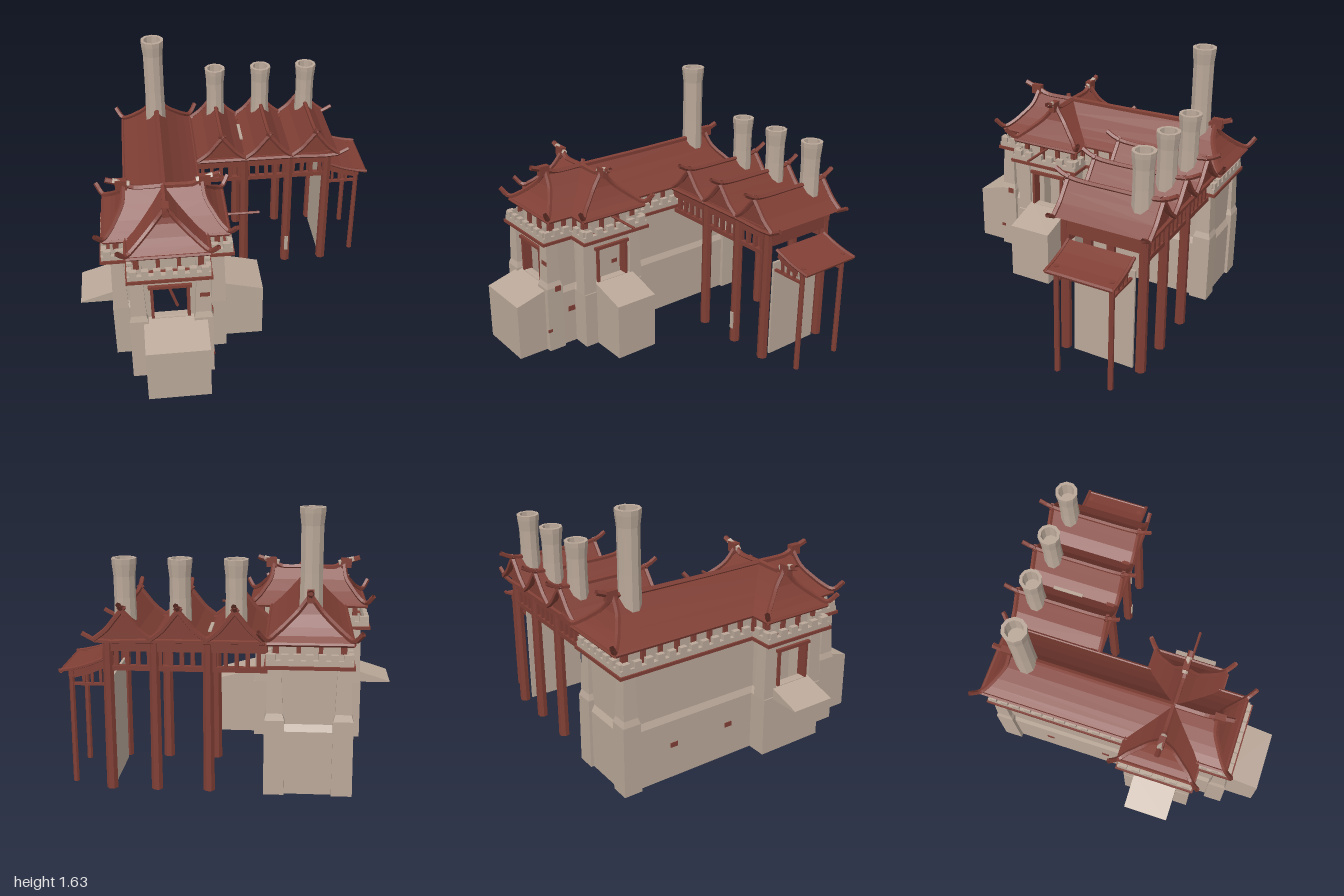
import * as THREE from 'three';

const stone = new THREE.MeshStandardMaterial({ color: 0xbaa899, flatShading: true, side: THREE.DoubleSide });
stone.name = 'paleStone';
const red = new THREE.MeshStandardMaterial({ color: 0x803f35, flatShading: true, side: THREE.DoubleSide });
red.name = 'redTimber';

const CX = -0.445, CZ = 0.30; // crossing of the two roof ridges
const V = (x, y, z) => new THREE.Vector3(x, y, z);

export function createModel() {
  const root = new THREE.Group();

  const add = (name, geo, mat, parent = root) => {
    const m = new THREE.Mesh(geo, mat);
    m.name = name;
    parent.add(m);
    return m;
  };
  // box given by its minimum and maximum corners
  const box = (name, x0, y0, z0, x1, y1, z1, mat, parent) =>
    add(name, new THREE.BoxGeometry(x1 - x0, y1 - y0, z1 - z0)
      .translate((x0 + x1) / 2, (y0 + y1) / 2, (z0 + z1) / 2), mat, parent);
  // timber bent along a few points
  const rod = (name, pts, r, parent, mat = red) =>
    add(name, new THREE.TubeGeometry(new THREE.CatmullRomCurve3(pts.map(p => V(...p))), (pts.length - 1) * 4, r, 5), mat, parent);
  // open surface through rows of points, wound so that row x column faces outward
  const sheet = (name, rows, parent, mat = red) => {
    const n = rows[0].length, idx = [];
    for (let i = 0; i < rows.length - 1; i++)
      for (let j = 0; j < n - 1; j++) {
        const a = i * n + j;
        idx.push(a, a + 1, a + n, a + 1, a + n + 1, a + n);
      }
    const g = new THREE.BufferGeometry();
    g.setAttribute('position', new THREE.Float32BufferAttribute(rows.flat(2), 3));
    g.setIndex(idx);
    g.computeVertexNormals();
    return add(name, g, mat, parent);
  };

  // cross-shaped plan, counter-clockwise seen from above, starting at the front wall
  const plan = (hw, aw, zb, za0, za1, zf) => [
    [-hw, zf], [hw, zf], [hw, za1], [aw, za1], [aw, za0], [hw, za0],
    [hw, zb], [-hw, zb], [-hw, za0], [-aw, za0], [-aw, za1], [-hw, za1],
  ].map(([x, z]) => [CX + x, z]);
  const ring = (pts, y) => [...pts, pts[0]].map(([x, z]) => [x, y, z]);
  const prism = (name, pts, y0, y1, mat) => {
    const s = new THREE.Shape(pts.map(([x, z]) => new THREE.Vector2(x, -z)));
    const g = new THREE.ExtrudeGeometry(s, { depth: y1 - y0, bevelEnabled: false });
    return add(name, g.rotateX(-Math.PI / 2).translate(0, y0, 0), mat);
  };
  // runs a builder on every wall of a plan; local x follows the wall, local z points outward
  const eachWall = (name, pts, build) => pts.forEach((p, i) => {
    const q = pts[(i + 1) % pts.length], dx = q[0] - p[0], dz = q[1] - p[1];
    const g = new THREE.Group();
    g.name = name;
    g.position.set(p[0], 0, p[1]);
    g.rotation.y = Math.atan2(-dz, dx);
    root.add(g);
    build(g, Math.hypot(dx, dz), i);
  });
  const slab = (shape, t) => new THREE.ExtrudeGeometry(shape, { depth: t, bevelEnabled: false }).translate(0, 0, -t);
  const poly = pts => new THREE.Shape(pts.map(p => new THREE.Vector2(...p)));

  // --- masonry hall, open underneath ---
  const foot = plan(0.23, 0.355, -0.84, 0.08, 0.53, 0.72);
  const wallPlan = plan(0.213, 0.333, -0.82, 0.10, 0.51, 0.70);
  sheet('base', [ring(foot, 0), ring(foot, 0.38), ring(wallPlan, 0.42)], root, stone);
  eachWall('wall', wallPlan, (g, len, i) => {
    const s = poly([[0, 0.4], [len, 0.4], [len, 0.76], [0, 0.76]]);
    if (i === 0 || i === 3 || i === 9) {
      const a = len / 2 - 0.11, b = len / 2 + 0.11, y0 = 0.44, y1 = 0.68;
      s.holes.push(new THREE.Path([[a, y0], [a, y1], [b, y1], [b, y0]].map(p => new THREE.Vector2(...p))));
      box('windowJamb', a - 0.008, y0, -0.05, a + 0.01, y1, 0.015, red, g);
      box('windowJamb', b - 0.01, y0, -0.05, b + 0.008, y1, 0.015, red, g);
      box('windowLintel', a - 0.02, y1 - 0.008, -0.05, b + 0.02, y1 + 0.012, 0.02, red, g);
      box('windowSill', a - 0.01, y0 - 0.012, -0.04, b + 0.01, y0 + 0.004, 0.015, stone, g);
    }
    add('wallPanel', slab(s, 0.035), stone, g);
  });
  rod('fallenSlat', [[-0.47, 0.66, 0.6], [-0.44, 0.56, 0.6], [-0.40, 0.43, 0.6]], 0.01);

  // --- parapet ---
  prism('parapetBand', plan(0.255, 0.405, -0.87, 0.05, 0.555, 0.76), 0.755, 0.775, red);
  eachWall('parapet', plan(0.245, 0.395, -0.86, 0.06, 0.545, 0.75), (g, len) => {
    const n = Math.max(1, Math.round(len / 0.075)), step = len / n, pts = [[0, 0.775], [len, 0.775]];
    for (let k = n - 1; k >= 0; k--) {
      const a = (k + 0.2) * step, b = (k + 0.8) * step;
      pts.push([k === n - 1 ? len : b + 0.001, 0.805], [b, 0.805], [b, 0.84], [a, 0.84], [a, 0.805]);
    }
    pts.push([0, 0.805]);
    add('crenellation', slab(poly(pts), 0.03), stone, g);
  });
  eachWall('upperWall', plan(0.185, 0.30, -0.80, 0.12, 0.48, 0.66), (g, len) => {
    box('upperWallPanel', 0, 0.775, -0.02, len, 0.915, 0, stone, g);
    const n = Math.max(1, Math.round(len / 0.12));
    for (let k = 0; k <= n; k++) {
      const x = len * k / n;
      box('shortPost', x - 0.012, 0.775, -0.01, x + 0.012, 0.915, 0.022, red, g);
    }
  });

  // --- corner pilasters: wide foot, tapering shaft ---
  const pilaster = (x, z, footed) => {
    const block = (w0, w1, y0, y1) => add('pilaster',
      new THREE.CylinderGeometry(w1 / Math.SQRT2, w0 / Math.SQRT2, y1 - y0, 4, 1, true)
        .rotateY(Math.PI / 4).translate(x, (y0 + y1) / 2, z), stone);
    if (footed) {
      block(0.12, 0.115, 0, 0.45);
      block(0.115, 0.09, 0.45, 0.49);
    }
    block(0.095, 0.07, footed ? 0.49 : 0.38, 0.84);
  };
  for (const s of [-1, 1]) {
    pilaster(CX + s * 0.195, 0.69, true);
    pilaster(CX + s * 0.195, -0.80, true);
    for (const z of [0.125, 0.485]) pilaster(CX + s * 0.305, z, false);
  }

  // --- porch blocks with sloping tops, local +z leading away from the wall ---
  const porch = (name, x, z, angle, w, depth, bottom) => {
    const g = new THREE.Group();
    g.name = name;
    g.position.set(x, 0, z);
    g.rotation.y = angle;
    root.add(g);
    const h = w / 2, hi = 0.445, lo = 0.375;
    sheet('porchTop', [[[-h, lo, depth], [h, lo, depth]], [[-h, hi, 0], [h, hi, 0]]], g, stone);
    sheet('porchSides', [
      [[-h, bottom, 0], [-h, bottom, depth], [h, bottom, depth], [h, bottom, 0]],
      [[-h, hi, 0], [-h, lo, depth], [h, lo, depth], [h, hi, 0]],
    ], g, stone);
  };
  porch('frontPorch', -0.42, 0.70, 0, 0.385, 0.25, 0);
  porch('rightPorch', -0.11, 0.295, Math.PI / 2, 0.29, 0.265, 0);
  porch('leftPorchRoof', -0.78, 0.295, -Math.PI / 2, 0.29, 0.22, 0.368);

  // --- hip roof arm running along local +z from the crossing ---
  const roofArm = (name, angle, L, w) => {
    const g = new THREE.Group();
    g.name = name;
    g.position.set(CX, 0, CZ);
    g.rotation.y = angle;
    root.add(g);
    const prof = [[0, 1.13, L - 0.155], [0.07, 1.05, L - 0.125], [0.14, 0.985, L - 0.08], [0.19, 0.945, L - 0.045], [w, 0.91, L]];
    for (const s of [-1, 1]) {
      sheet('roofSlope', prof.map(([x, y, z]) => [[s * x, y, 0], [s * x, y, z]]), g);
      rod('hipBeam', [[0, 1.155, L - 0.14], ...prof.slice(1, 4).map(([x, y, z]) => [s * x, y + 0.012, z]),
        [s * w, 0.93, L], [s * (w + 0.045), 0.985, L + 0.042]], 0.016, g);
      rod('sideEave', [[s * w, 0.908, 0.1], [s * w, 0.908, L]], 0.012, g);
    }
    sheet('hipEnd', prof.map(([x, y, z]) => [[-x, y, z], [x, y, z]]), g);
    rod('endEave', [[-w, 0.908, L], [w, 0.908, L]], 0.012, g);
    rod('ridgeBeam', [[0, 1.125, 0], [0, 1.127, L * 0.5], [0, 1.145, L - 0.16], [0, 1.19, L - 0.035]], 0.018, g);
    box('ridgeCap', -0.02, 1.12, L - 0.16, 0.02, 1.185, L - 0.09, red, g);
  };
  roofArm('frontRoof', 0, 0.41, 0.245);
  roofArm('hallRoof', Math.PI, 1.19, 0.24);
  roofArm('leftRoof', Math.PI / 2, 0.375, 0.235);
  roofArm('rightRoof', -Math.PI / 2, 0.375, 0.235);
  rod('projectingPole', [[-0.1, 0.88, 0.30], [0.14, 0.88, 0.30]], 0.009);

  // --- gallery roofs: three gables side by side ---
  const zF = -0.27, zB = -0.87;
  const gableProf = [[0, 1.075], [0.045, 1.02], [0.09, 0.965], [0.165, 0.905]];
  [-0.03, 0.285, 0.60].forEach(x => {
    for (const s of [-1, 1]) {
      sheet('galleryRoof', gableProf.map(([u, y]) => [[x + s * u, y, zB], [x + s * u, y, zF]]));
      for (const z of [zF, zB])
        rod('galleryGableTrim', [[x - s * 0.015, 1.10, z], ...gableProf.slice(1).map(([u, y]) => [x + s * u, y + 0.005, z])], 0.016);
    }
    for (const z of [zF - 0.03, zB + 0.03])
      sheet('galleryGable', gableProf.map(([u, y]) => [[x - u, y, z], [x + u, y, z]]));
    rod('galleryRidge', [[x, 1.13, zF + 0.08], [x, 1.09, zF], [x, 1.078, -0.57], [x, 1.09, zB], [x, 1.13, zB - 0.08]], 0.015);
  });
  for (const z of [zF, zB + 0.01])
    rod('galleryEave', [[-0.2, 0.905, z], [0.45, 0.905, z], [0.76, 0.905, z], [0.83, 0.945, z]], 0.014);

  // --- gallery frame: posts, double beams and balusters ---
  const post = (x, z, r, h) => add('post', new THREE.CylinderGeometry(r * 0.9, r, h, 7).translate(x, h / 2, z), red);
  for (const z of [-0.31, -0.81]) {
    for (const x of [0.125, 0.43, 0.695]) post(x, z, 0.034, 0.92);
    box('upperBeam', -0.21, 0.835, z - 0.02, 0.72, 0.91, z + 0.02, red);
    box('lowerBeam', -0.21, 0.72, z - 0.015, 0.72, 0.75, z + 0.015, red);
    for (let x = -0.16; x < 0.7; x += 0.062) box('baluster', x - 0.012, 0.74, z - 0.012, x + 0.012, 0.85, z + 0.012, red);
  }
  box('endUpperBeam', 0.675, 0.79, -0.81, 0.715, 0.90, -0.31, red);
  box('endPanel', 0.685, 0, -0.76, 0.70, 0.66, -0.37, stone);

  // --- lean-to at the gallery end ---
  const slope = [[0.735, 0.77], [0.82, 0.735], [0.91, 0.71], [0.995, 0.695]];
  sheet('leanToRoof', slope.map(([x, y]) => [[x, y, -0.77], [x, y, -0.35]]));
  for (const z of [-0.35, -0.77]) {
    rod('leanToEdge', slope.map(([x, y]) => [x, y, z]), 0.011);
    sheet('leanToFascia', slope.slice(0, 3).map(([x, y]) => [[x, y, z * 0.95 - 0.028], [x, y - 0.06, z * 0.95 - 0.028]]));
  }
  rod('leanToEave', [[0.985, 0.69, -0.77], [0.985, 0.69, -0.35]], 0.012);
  for (const z of [-0.385, -0.735]) {
    post(0.93, z, 0.018, 0.71);
    box('leanToRail', 0.70, 0.60, z - 0.01, 0.93, 0.615, z + 0.01, red);
    for (let x = 0.76; x < 0.9; x += 0.05) box('leanToBaluster', x - 0.008, 0.61, z - 0.008, x + 0.008, 0.72, z + 0.008, red);
  }
  box('leanToBeam', 0.915, 0.655, -0.75, 0.945, 0.69, -0.37, red);

  // --- hollow chimneys ---
  const chimney = (x, z, r, y0, y1) => {
    const h = y1 - y0;
    const prof = [[r * 0.92, 0], [r * 0.86, h * 0.4], [r * 0.87, h - 0.1], [r * 0.98, h - 0.03], [r, h], [r * 0.72, h],
      [r * 0.66, h - 0.1], [0, h - 0.1]];
    add('chimney', new THREE.LatheGeometry(prof.map(p => new THREE.Vector2(...p)), 10).translate(x, y0, z), stone);
  };
  chimney(-0.45, -0.645, 0.077, 1.02, 1.635);
  for (const x of [-0.03, 0.285, 0.60]) chimney(x, -0.745, 0.071, 0.99, 1.355);

  // --- worn patches: bare brick on walls, pale mortar on roofs ---
  const patch = (x, y, z, sx, sy, sz, mat) => box('wornPatch', x - sx / 2, y - sy / 2, z - sz / 2, x + sx / 2, y + sy / 2, z + sz / 2, mat);
  patch(-0.24, 0.62, 0.73, 0.06, 0.03, 0.008, red);
  for (const z of [-0.1, -0.5]) patch(CX - 0.231, 0.22, z, 0.008, 0.03, 0.05, red);
  patch(CX + 0.231, 0.25, 0.56, 0.008, 0.035, 0.05, red);
  patch(CX + 0.254, 0.44, 0.67, 0.008, 0.035, 0.04, red);
  patch(CX + 0.255, 0.15, 0.74, 0.008, 0.02, 0.03, red);
  for (const s of [-1, 1])
    rod('paleRidge', [[CX + s * 0.2, 1.152, CZ], [CX + s * 0.30, 1.18, CZ]], 0.019, root, stone);
  patch(0.127, 0.925, -0.6, 0.02, 0.008, 0.2, stone);
  patch(0.43, 0.16, -0.278, 0.025, 0.12, 0.008, stone);
  return root;
}
